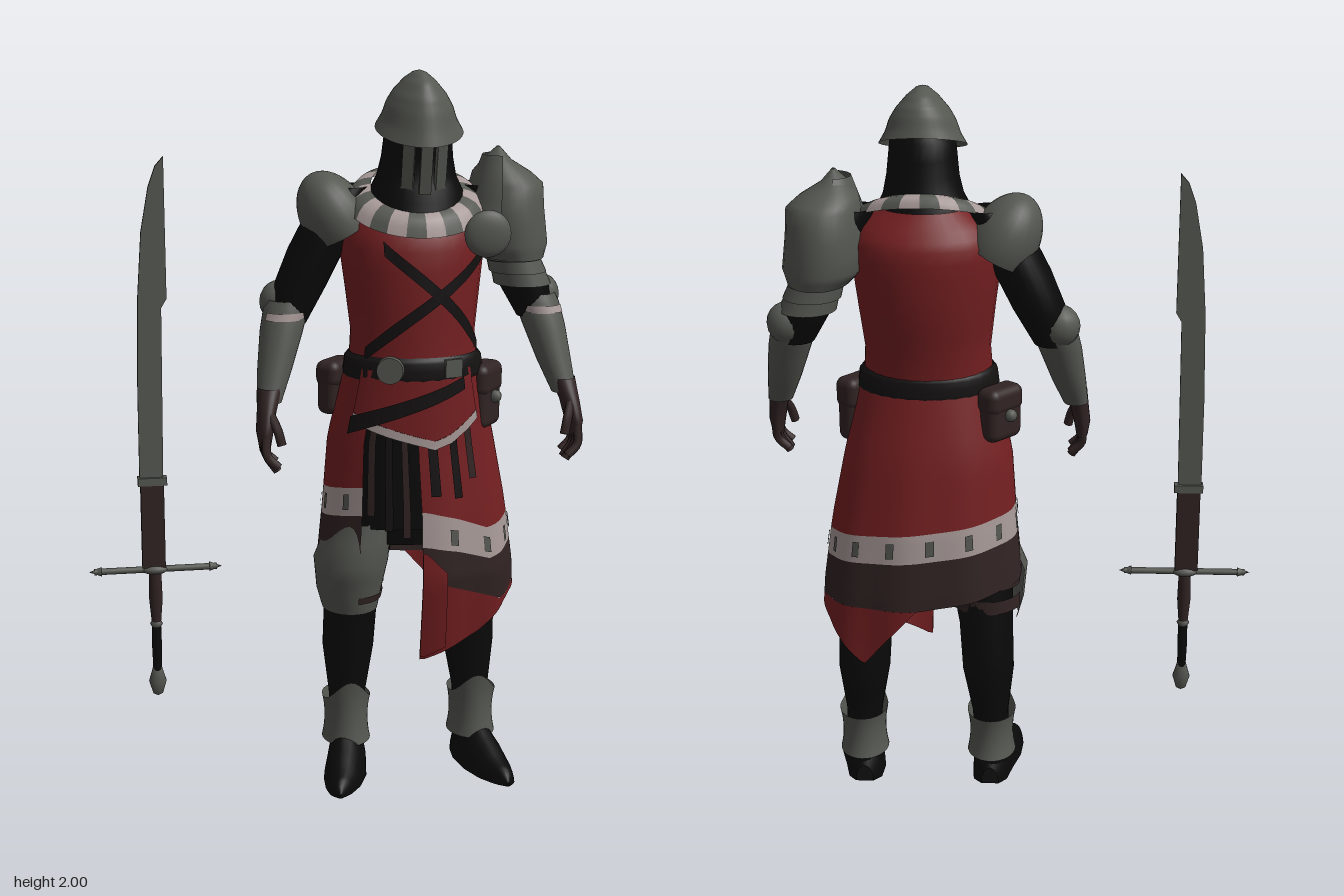
import * as THREE from 'three';
import { mergeVertices } from 'three/addons/utils/BufferGeometryUtils.js';
import { RoundedBoxGeometry } from 'three/addons/geometries/RoundedBoxGeometry.js';

const TAU = Math.PI * 2;
const { sin, cos, max, PI } = Math;
const material = (name, color) => Object.assign(
  new THREE.MeshStandardMaterial({ color, side: THREE.DoubleSide }), { name });

// Piecewise-linear interpolation through rows whose first entry is the key
function sample(rows, k) {
  let i = 0;
  while (i < rows.length - 2 && k > rows[i + 1][0]) i++;
  const a = rows[i], b = rows[i + 1];
  const f = Math.min(1, max(0, (k - a[0]) / (b[0] - a[0])));
  return a.map((v, n) => v + (b[n] - v) * f);
}
const line = (...pairs) => k => sample(pairs, k)[1];

// Point on a body of elliptical rings [y, cx, cz, rx, rz]; t = 0 is the front
function ringPoint(rows, t, y, off = 0) {
  const [, cx, cz, rx, rz] = sample(rows, y);
  return [cx + (rx + off) * sin(t), y, cz + (rz + off) * cos(t)];
}

// Smooth surface from a rule f(u, v)
function grid(f, nu, nv) {
  const pos = [], idx = [];
  for (let j = 0; j <= nv; j++) for (let i = 0; i <= nu; i++) pos.push(...f(i / nu, j / nv));
  for (let j = 0; j < nv; j++) for (let i = 0; i < nu; i++) {
    const a = j * (nu + 1) + i, d = a + nu + 1;
    idx.push(a, a + 1, d + 1, a, d + 1, d);
  }
  let g = new THREE.BufferGeometry();
  g.setAttribute('position', new THREE.Float32BufferAttribute(pos, 3));
  g.setIndex(idx);
  g = mergeVertices(g, 1e-5);
  g.computeVertexNormals();
  return g;
}

export function createModel() {
  const root = new THREE.Group();
  const red = material('red cloth', 0x741f21), steel = material('steel', 0x555751);
  const black = material('black cloth', 0x090909), brown = material('brown leather', 0x312323);
  const pale = material('pale trim', 0xa89a98), dark = material('dark strap', 0x141111);
  const add = (name, geo, mat, pos = [0, 0, 0], rot = [0, 0, 0], scale = [1, 1, 1]) => {
    const m = new THREE.Mesh(geo, mat);
    m.name = name;
    m.position.set(...pos); m.rotation.set(...rot); m.scale.set(...scale);
    root.add(m);
    return m;
  };
  const loft = (name, mat, rows, t0 = 0, t1 = TAU) => add(name, grid((u, v) => {
    const [y, cx, cz, rx, rz] = sample(rows.map((r, i) => [i, ...r]), v * (rows.length - 1)).slice(1);
    const t = t0 + (t1 - t0) * u;
    return [cx + rx * sin(t), y, cz + rz * cos(t)];
  }, 28, (rows.length - 1) * 2), mat);
  const tube = (name, mat, pts, r) => add(name, new THREE.TubeGeometry(
    new THREE.CatmullRomCurve3(pts.map(p => new THREE.Vector3(...p))), 8, r, 7), mat);

  // Torso
  const torso = [[1.18, .215, .02, .18, .135], [1.3, .215, .012, .172, .143], [1.42, .215, 0, .186, .158],
    [1.53, .214, -.008, .2, .162], [1.6, .214, -.022, .2, .147], [1.645, .216, -.025, .172, .118], [1.69, .218, -.015, .115, .095]];
  loft('tunic', red, torso);

  // Chequered collar
  const tiles = 22;
  for (let i = 0; i < tiles; i++) add('collarTile', grid((u, v) => {
    const t = (i + u) / tiles * TAU, b = .01 * sin(v * PI);
    return [.22 + (.192 - .07 * v + b) * sin(t), 1.64 - .07 * cos(t) + v * (.05 + .02 * cos(t)) + b,
      .018 - .004 * v + (.148 - .045 * v + b) * cos(t)];
  }, 3, 4), i % 2 ? steel : pale);

  // Crossed chest straps
  for (const [t0, y0, t1, y1] of [[-.52, 1.54, 1.15, 1.26], [1.05, 1.52, -.95, 1.25]])
    add('chestStrap', grid((u, v) => ringPoint(torso, t0 + (t1 - t0) * u,
      y0 + (y1 - y0) * u + (v - .5) * .038, .008), 24, 1), dark);

  // Head: coif, helmet and face guard
  loft('coif', black, [[1.63, .22, .012, .14, .12], [1.68, .22, .012, .128, .108], [1.72, .221, .012, .108, .096],
    [1.77, .222, .015, .097, .089], [1.86, .222, .03, .088, .092], [1.92, .222, .035, .05, .06]]);
  const dome = [[0, 0, 0, 1], [.12, .15, .32, .96], [.3, .36, .6, .83], [.5, .6, .8, .62], [.65, .75, .88, .43], [.82, .85, .94, .2], [1, 1, 1, 0]];
  add('helmet', grid((u, v) => {
    const t = u * TAU, [, fx, fz, h] = sample(dome, 1 - v), rim = 1.845 - .038 * cos(t);
    const point = 1 + .08 * max(0, cos(t)) ** 8 * (1 - v);
    return [.222 + .118 * fx * sin(t), rim + (2 - rim) * h, .038 + .122 * fz * cos(t) * point];
  }, 40, 24), steel);
  for (const [x, z, l] of [[.178, .117, .14], [.222, .137, .15], [.266, .117, .14]])
    add('faceBar', new THREE.BoxGeometry(.032, l, .012), steel, [x, 1.83 - l / 2, z], [.22, (x - .222) * 9, 0]);

  // Breeches and skirt
  loft('breeches', black, [[.7, .22, -.01, .16, .1], [.9, .22, -.005, .19, .125], [1.2, .215, .02, .16, .12]]);
  const skirt = [[.37, .235, -.04, .292, .16], [.54, .233, -.022, .285, .177], [.62, .232, -.014, .281, .184],
    [.8, .228, -.012, .26, .176], [1, .215, -.005, .233, .16], [1.22, .215, .02, .183, .138]];
  const drape = (name, mat, t0, t1, top, bottom, off = 0) => add(name, grid((u, v) => {
    const t = t0 + (t1 - t0) * u, y0 = bottom(t), y = y0 + (top(t) - y0) * v;
    return ringPoint(skirt, t, y, off + .007 * sin(9 * t) * max(0, 1.15 - y));
  }, 64, 8), mat);
  const T0 = -.04, T1 = 5.57;
  const paleTop = line([0, .815], [.35, .79], [.75, .75], [1.57, .768], [PI, .815], [T1, .88]);
  const brownTop = line([0, .715], [.35, .695], [.75, .66], [1.57, .69], [PI, .733], [T1, .8]);
  const brownEnd = line([0, .62], [.5, .57], [.9, .53], [1.2, .54], [1.57, .57], [PI, .59], [T1, .68]);
  const tail = line([0, .37], [.6, .44], [1, .515], [1.3, .53], [1.6, .545], [2.2, .48], [2.55, .41], [3.1, .588]);
  drape('skirt', red, T0, T1, () => 1.21, paleTop);
  drape('skirtPaleBand', pale, T0, T1, paleTop, brownTop);
  drape('skirtLeatherBand', brown, T0, T1, brownTop, brownEnd);
  drape('skirtTail', red, T0, 3.1, brownEnd, tail);
  drape('frontFold', red, T0, .2, line([0, .7], [.2, .64]), line([0, .38], [.2, .41]), .007);
  for (let t = .3; t < 5.4; t += .42)
    drape('bandPatch', steel, t - .045, t + .045, a => brownTop(a) + .062, a => brownTop(a) + .018, .004);

  // Apron over the front opening
  const hem = line([-.95, 1.09], [-.3, 1.045], [.15, 1.015], [.35, 1.03], [.8, 1.09]);
  drape('apron', red, -.95, .8, () => 1.21, hem, .008);
  drape('apronHem', pale, -.95, .8, hem, t => hem(t) - .024, .009);
  drape('openingLining', black, -.9, .1, () => 1.08, () => .76, -.02);
  drape('sashBelt', dark, -.95, .6, line([-.95, 1.08], [.6, 1.19]), line([-.95, 1.03], [.6, 1.155]), .016);
  for (const [t, w, y, mat] of [[-.62, .1, .8, brown], [-.4, .09, .76, dark], [-.2, .08, .74, brown],
    [.12, .11, .86, dark], [.38, .1, .85, dark], [.6, .1, .9, brown]])
    drape('hangingStrap', mat, t - w / 2, t + w / 2, hem, () => y, t > 0 ? .008 : -.008);

  // Belt, buckle and pouches
  loft('belt', dark, [[1.18, .215, .02, .192, .145], [1.19, .215, .02, .195, .148], [1.23, .215, .02, .19, .147], [1.245, .215, .02, .178, .138]]);
  add('beltBuckle', new THREE.CylinderGeometry(.036, .038, .016, 20), steel, [.125, 1.215, .16], [PI / 2, 0, .3]);
  add('beltPlate', new THREE.BoxGeometry(.05, .05, .01), steel, [.3, 1.215, .156], [0, .25, 0]);
  for (const [x, y, z, h, a] of [[.412, 1.11, .035, .18, .9], [.015, 1.13, -.06, .15, .85]]) {
    const s = x > .2 ? 1 : -1;
    add('pouch', new RoundedBoxGeometry(.12, h, .066, 3, .025), brown, [x, y, z], [0, a, 0]);
    add('pouchFlap', new RoundedBoxGeometry(.126, h * .5, .074, 3, .025), brown, [x, y + h * .27, z], [0, a, 0]);
    add('pouchStud', new THREE.SphereGeometry(.018, 10, 8), steel, [x + s * .03, y, z + s * .024]);
  }

  // Arms, mirrored about the body
  for (const side of ['right', 'left']) {
    const mx = x => side === 'right' ? x : .445 - x;
    const rows = list => list.map(([y, x, ...r]) => [y, mx(x), ...r]);
    loft(side + 'Sleeve', black, rows([[1.32, -.125, -.025, .05, .055], [1.42, -.09, -.035, .072, .076],
      [1.52, -.045, -.035, .077, .085], [1.62, 0, -.03, .07, .085], [1.69, .05, -.03, .05, .06]]));
    loft(side + 'Vambrace', steel, rows([[1.12, -.19, .065, .034, .038], [1.2, -.17, .03, .047, .053],
      [1.3, -.146, -.005, .059, .064], [1.36, -.13, -.026, .062, .067], [1.385, -.122, -.032, .058, .064]]));
    loft(side + 'ElbowTrim', pale, rows([[1.335, -.14, -.018, .063, .068], [1.355, -.133, -.024, .065, .07]]), -1, 1);
    add(side + 'ElbowCop', new THREE.SphereGeometry(.055, 16, 10), steel, [mx(-.145), 1.375, -.05], [0, 0, 0], [1, 1.05, .9]);
    loft(side + 'Glove', brown, rows([[1.01, -.208, .11, .016, .04], [1.05, -.208, .108, .023, .05],
      [1.1, -.2, .09, .026, .047], [1.16, -.187, .06, .034, .039]]));
    for (let i = 0; i < 4; i++) {
      const z = .078 + i * .022, d = i === 0 || i === 3 ? .015 : 0;
      tube(side + 'Finger', brown, [[mx(-.209), 1.04, z], [mx(-.207), .99, z + .012], [mx(-.178), .945 + d, z + .016]], .0125);
    }
    tube(side + 'Thumb', brown, [[mx(-.195), 1.1, .12], [mx(-.178), 1.06, .15], [mx(-.168), 1.02, .16]], .013);
  }

  // Shoulder armour
  add('rightPauldron', new THREE.SphereGeometry(1, 24, 14, 0, TAU, 0, 1.8), steel, [.01, 1.595, -.03], [0, 0, .5], [.094, .145, .112]);
  loft('leftPauldron', steel, [[1.49, .5, -.03, .085, .132], [1.53, .487, -.033, .11, .142], [1.62, .48, -.033, .106, .14],
    [1.69, .482, -.033, .1, .122], [1.72, .468, -.03, .08, .095], [1.755, .452, -.02, .038, .055], [1.79, .455, -.02, .004, .01]]);
  loft('neckGuard', steel, [[1.62, .47, -.01, .11, .12], [1.7, .47, -.01, .085, .1], [1.77, .47, -.01, .06, .06]], PI * 1.1, PI * 1.9);
  for (let i = 0; i < 3; i++) {
    const y = 1.41 + i * .035, x = .535 - i * .014;
    loft('armLame', steel, [[y, x, -.035, .079, .086], [y + .04, x - .014, -.035, .074, .081]]);
  }
  add('shoulderDisc', new THREE.SphereGeometry(.064, 24, 8, 0, TAU, 0, PI / 2), steel, [.39, 1.575, .145], [PI / 2, 0, 0], [1, .35, 1]);

  // Legs, greaves and shoes
  const foot = [[-.11, .025, .05, .045], [-.085, .048, .1, .045], [-.02, .058, .14, .04], [.06, .062, .095, .022],
    [.13, .05, .06, .005], [.18, .028, .04, -.01], [.2, .003, .012, -.014]];
  for (const side of ['right', 'left']) {
    const mx = x => side === 'right' ? x : .455 - x;
    loft(side + 'Leg', black, [[.06, .04, -.05, .045, .055], [.22, .045, -.05, .052, .062], [.36, .05, -.063, .073, .082],
      [.5, .056, -.055, .076, .08], [.7, .075, -.02, .095, .1], [.95, .11, 0, .1, .105]].map(([y, x, ...r]) => [y, mx(x), ...r]));
    add(side + 'Greave', grid((u, v) => {
      const t = u * TAU, top = .215 + .065 * max(0, cos(t)) ** 3, flare = 1 + .12 * (2 * v - 1) ** 2;
      return [mx(.042) + .062 * flare * sin(t), .085 + (top - .085) * v, -.045 + .078 * flare * cos(t)];
    }, 32, 8), steel);
    add(side + 'Shoe', grid((u, v) => {
      const [z, w, h, x] = sample(foot, -.11 + .31 * v), a = u * TAU;
      return [mx(x) + w * cos(a), max(0, h * sin(a)), z];
    }, 24, 24), black);
  }

  // Right thigh plate with its straps
  loft('thighPlate', steel, [[.5, .045, -.005, .078, .09], [.56, .042, 0, .092, .102], [.65, .046, .01, .105, .118],
    [.77, .075, .01, .085, .105]], -1.95, 1.95);
  loft('kneeStrap', brown, [[.535, .043, 0, .09, .1], [.555, .043, 0, .094, .104]], .1, 1.95);
  for (const y of [.55, .62])
    loft('thighStrap', brown, [[y, .056, -.03, .098, .1], [y + .04, .058, -.028, .1, .102]], 1.8, TAU - 1.8);

  // Sword standing beside the figure
  const edge = [[-.542, .9], [-.541, 1.15], [-.535, 1.4], [-.522, 1.58], [-.5, 1.7], [-.48, 1.755], [-.458, 1.78], [-.457, 1.4], [-.472, 1.375], [-.477, .9]];
  const blade = new THREE.ExtrudeGeometry(new THREE.Shape(edge.map(p => new THREE.Vector2(...p))),
    { depth: .012, bevelEnabled: false });
  add('blade', blade, steel, [0, 0, -.006]);
  add('bladeCollar', new THREE.BoxGeometry(.08, .022, .03), steel, [-.507, .893, 0]);
  add('bladeSleeve', new THREE.BoxGeometry(.064, .24, .026), brown, [-.508, .765, 0]);
  const turned = (name, mat, pts, y, sz = 1) => add(name, new THREE.LatheGeometry(
    pts.map(p => new THREE.Vector2(...p)), 14), mat, [-.505, y, 0], [0, 0, 0], [1, 1, sz]);
  add('crossGuard', new THREE.CylinderGeometry(.009, .009, .34, 10), steel, [-.503, .638, 0], [0, 0, PI / 2]);
  add('guardBlock', new THREE.SphereGeometry(.03, 14, 10), steel, [-.505, .638, 0], [0, 0, 0], [1.2, .5, .75]);
  for (const s of [-1, 1])
    add('guardTip', new THREE.ConeGeometry(.014, .035, 8), steel, [-.503 + s * .167, .638, 0], [0, 0, -s * PI / 2]);
  turned('upperGrip', brown, [[.013, 0], [.019, .07], [.017, .15]], .48);
  turned('lowerGrip', black, [[.012, 0], [.014, .07], [.013, .14]], .34);
  turned('gripRing', steel, [[.013, 0], [.018, .008], [.013, .016]], .47);
  turned('pommel', steel, [[0, 0], [.014, .008], [.025, .045], [.016, .075], [.012, .09]], .262, .75);
  return root;
}
